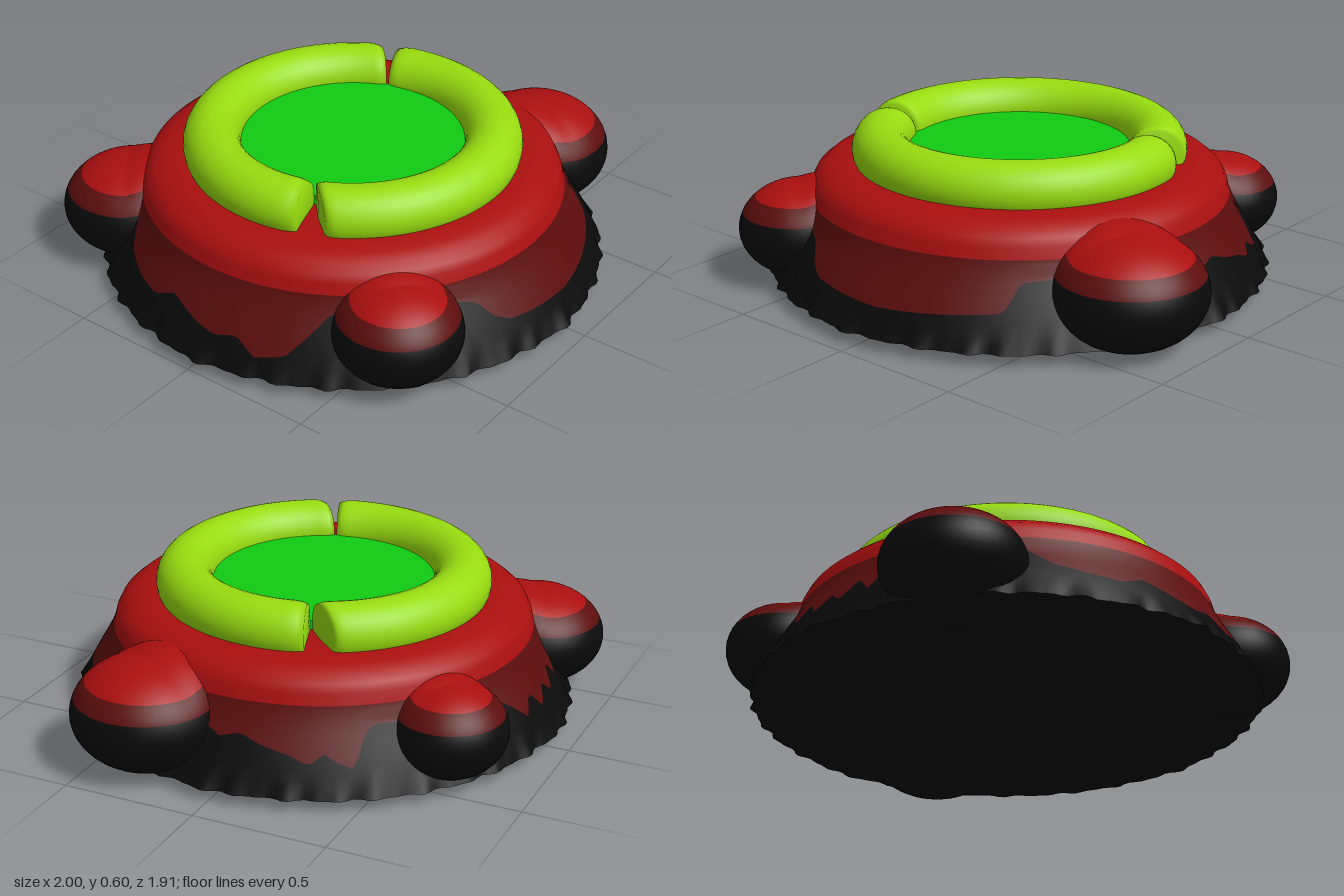
import * as THREE from 'three';
import { mergeVertices } from 'three/addons/utils/BufferGeometryUtils.js';

const mat = (name, color) => {
  const m = new THREE.MeshStandardMaterial({ color });
  m.name = name;
  return m;
};

// Surface from cross-section rows; bandOf(row) picks the material of each strip
function grid(point, nu, nv, bandOf = () => 0) {
  const pos = [], idx = [], geo = new THREE.BufferGeometry();
  for (let j = 0; j <= nv; j++)
    for (let i = 0; i <= nu; i++) pos.push(...point(i / nu, j));
  for (let j = 0; j < nv; j++) {
    geo.addGroup(idx.length, nu * 6, bandOf(j));
    for (let i = 0; i < nu; i++) {
      const a = j * (nu + 1) + i, b = a + 1, c = a + nu + 1, d = c + 1;
      idx.push(a, c, b, b, c, d);
    }
  }
  geo.setAttribute('position', new THREE.Float32BufferAttribute(pos, 3));
  geo.setIndex(idx);
  const out = mergeVertices(geo, 1e-4);
  out.computeVertexNormals();
  return out;
}

// Linear interpolation in a list of [key, value]
function lerpTable(table, k) {
  for (let i = 1; i < table.length; i++) {
    const [k0, v0] = table[i - 1], [k1, v1] = table[i];
    if (k <= k1) return v0 + (v1 - v0) * Math.max(0, (k - k0) / (k1 - k0));
  }
  return table[table.length - 1][1];
}

// Radius of the mound at each height
const PROFILE = [[0.045, 0.935], [0.15, 0.88], [0.22, 0.84], [0.27, 0.81], [0.33, 0.785]];
const CAP = [[0.37, 0.775], [0.4, 0.76], [0.425, 0.73], [0.443, 0.69], [0.45, 0.64], [0.455, 0.55], [0.455, 0]];
// Height of the ragged dark edge by angle (degrees from +x towards +z)
const EDGE = [[0, 0.21], [6, 0.25], [40, 0.27], [49, 0.26], [53, 0.17], [62, 0.16], [72, 0.15], [84, 0.14],
  [96, 0.15], [104, 0.16], [108, 0.19], [112, 0.25], [118, 0.27], [148, 0.27], [153, 0.2], [158, 0.13],
  [165, 0.11], [170, 0.16], [176, 0.14], [182, 0.16], [190, 0.2], [196, 0.16], [204, 0.17], [212, 0.2],
  [218, 0.27], [250, 0.27], [255, 0.16], [259, 0.23], [263, 0.15], [267, 0.2], [271, 0.14], [275, 0.21],
  [279, 0.15], [283, 0.2], [288, 0.25], [322, 0.27], [325, 0.25], [328, 0.14], [332, 0.16], [335, 0.19],
  [338, 0.15], [343, 0.18], [349, 0.2], [355, 0.23], [360, 0.21]];
const CX = -0.05, TAU = Math.PI * 2;

// Small irregular teeth along the foot
const tooth = (t) => 0.007 * Math.sin(t * 37) + 0.005 * Math.sin(t * 61 + 1)
  + 0.012 * Math.pow(Math.abs(Math.cos(2 * t)), 60);
const polar = (t, r, y) => [CX + r * Math.cos(t), y, r * Math.sin(t)];

export function createModel() {
  const group = new THREE.Group();
  const black = mat('black', 0x0a0a0a);
  const darkRed = mat('dark red', 0x5c0d0d);
  const red = mat('red', 0xab0f0f);
  const lime = mat('lime', 0x98dc10);
  const green = mat('green', 0x10cc12);
  const skin = [black, darkRed, red];
  const add = (name, geo, material, parent = group) => {
    const m = new THREE.Mesh(geo, material);
    m.name = name;
    parent.add(m);
    return m;
  };

  // Mound: four black rows, four dark red rows, then the red cap
  const LOW = 4, MID = 4;
  add('mound', grid((u, j) => {
    const t = u * TAU, edge = lerpTable(EDGE, u * 360);
    if (j > LOW + MID) {
      const [y, r] = CAP[j - LOW - MID - 1];
      return polar(t, r, y);
    }
    const y = j <= LOW ? 0.045 + (edge - 0.045) * j / LOW : edge + (0.33 - edge) * (j - LOW) / MID;
    const ragged = tooth(t) * Math.max(0, 1 - (y - 0.045) / 0.06);
    return polar(t, lerpTable(PROFILE, y) + ragged, y);
  }, 240, LOW + MID + CAP.length, (j) => (j < LOW ? 0 : j < LOW + MID ? 1 : 2)), skin);

  // Underside
  add('underside', grid((u, j) => polar(u * TAU, j * (0.935 + tooth(u * TAU)), 0.045), 240, 1), black);

  // Side lobes: x, z, radius, centre height, half height
  const lobes = [
    [0.72, 0.32, 0.28, 0.205, 0.205],
    [-0.6, 0.61, 0.23, 0.205, 0.18],
    [-0.53, -0.68, 0.255, 0.2, 0.185],
    [0.4, -0.69, 0.21, 0.205, 0.17],
  ];
  const lobeGroup = new THREE.Group();
  lobeGroup.name = 'lobes';
  group.add(lobeGroup);
  for (const [x, z, r, cy, ry] of lobes) {
    const a1 = Math.asin((0.27 - cy) / ry), a2 = Math.asin((0.33 - cy) / ry);
    const d = Math.hypot(x - CX, z), ix = (CX - x) / d, iz = -z / d;
    const low = 14, mid = 4, top = 10;
    add('lobe', grid((u, j) => {
      const t = u * TAU;
      const lat = j <= low ? -Math.PI / 2 + (a1 + Math.PI / 2) * j / low
        : j <= low + mid ? a1 + (a2 - a1) * (j - low) / mid
          : a2 + (Math.PI / 2 - a2) * (j - low - mid) / top;
      const px = r * Math.cos(lat) * Math.cos(t), pz = r * Math.cos(lat) * Math.sin(t);
      // the top rises towards the mound
      const inward = Math.max(0, px * ix + pz * iz);
      const lift = Math.max(0, Math.sin(lat)) * inward * 0.35;
      return [x + px, cy + ry * Math.sin(lat) + lift, z + pz];
    }, 48, low + mid + top, (j) => (j < low ? 0 : j < low + mid ? 1 : 2)), skin, lobeGroup);
  }

  // Ring of two tube halves, each with one square end and one slanted end
  const R = 0.518, TUBE = 0.106, N = 72;
  const start = THREE.MathUtils.degToRad(161.5);
  const half = grid((u, j) => {
    const phi = j / 28 * TAU;
    const k = Math.round(u * (N + 2)) - 1;           // first and last columns close the ends
    const s = Math.min(1, Math.max(0, k / N));
    const end = Math.min(k, N - k);
    const size = end < 0 ? 0 : TUBE * [0.9, 0.97][end] || (end < 0 ? 0 : TUBE);
    const slant = 5 * (1 + Math.cos(phi) * size / TUBE) * Math.pow(s, 10);
    const t = start + THREE.MathUtils.degToRad(s * 179.5 - slant);
    const rr = R + size * Math.cos(phi);
    return [rr * Math.cos(t), 0.49 + size * Math.sin(phi), rr * Math.sin(t)];
  }, N + 2, 28);
  const ring = new THREE.Group();
  ring.name = 'ring';
  ring.position.x = CX;
  group.add(ring);
  for (const side of [0, 1]) add('ringHalf', half, lime, ring).rotation.y = side * Math.PI;
  for (const m of ring.children) m.material.side = THREE.DoubleSide;

  // Disc inside the ring
  add('disc', new THREE.CylinderGeometry(0.425, 0.425, 0.06, 64), green).position.set(CX, 0.46, 0);

  return group;
}
